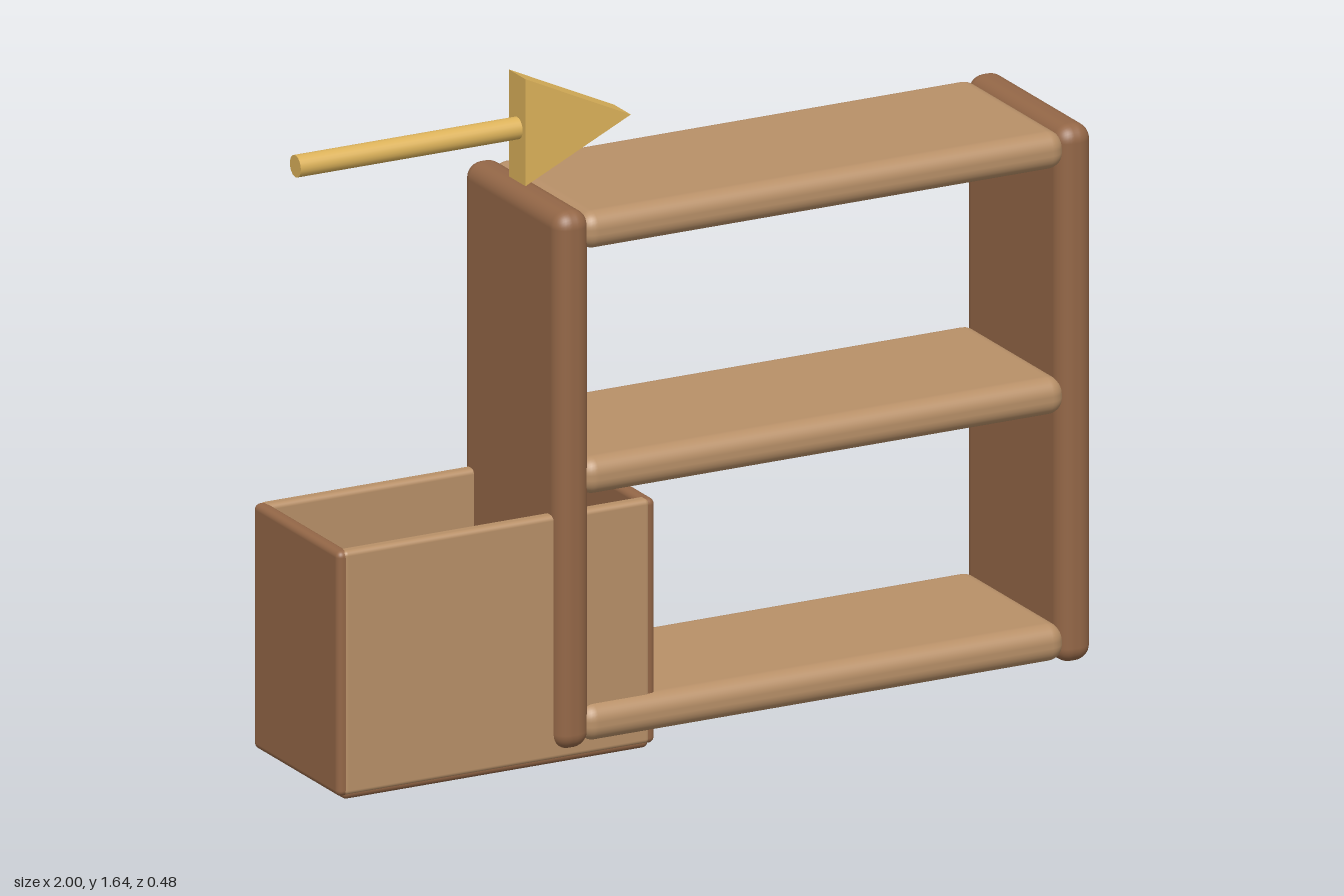
import * as THREE from 'three';
import { RoundedBoxGeometry } from 'three/addons/geometries/RoundedBoxGeometry.js';

const make = (name, color) => {
  const m = new THREE.MeshStandardMaterial({ color });
  m.name = name;
  return m;
};

export function createModel() {
  const root = new THREE.Group();
  root.name = 'shelfWithBin';
  const darkWood = make('dark wood', 0x946747);
  const lightWood = make('light wood', 0xb89068);
  const gold = make('gold', 0xdcb25a);

  // Rounded board given by its extents on each axis
  const board = (name, parent, mat, [x0, x1], [y0, y1], [z0, z1], r) => {
    const geo = new RoundedBoxGeometry(x1 - x0, y1 - y0, z1 - z0, 4, r);
    const mesh = new THREE.Mesh(geo, mat);
    mesh.name = name;
    mesh.position.set((x0 + x1) / 2, (y0 + y1) / 2, (z0 + z1) / 2);
    parent.add(mesh);
  };
  const group = (name) => {
    const g = new THREE.Group();
    g.name = name;
    root.add(g);
    return g;
  };

  // Shelf unit: two uprights and three shelves
  const shelf = group('shelfUnit');
  const depth = [-0.24, 0.24];
  board('rightUpright', shelf, darkWood, [-0.43, -0.338], [0.035, 1.362], depth, 0.04);
  board('leftUpright', shelf, darkWood, [0.905, 0.997], [0.035, 1.362], depth, 0.04);
  for (const y of [0.045, 0.654, 1.26]) {
    board('shelf', shelf, lightWood, [-0.362, 0.926], [y, y + 0.092], depth, 0.04);
  }

  // Open bin passing through the right upright
  const bin = group('bin');
  board('binBottom', bin, darkWood, [-0.985, -0.17], [0, 0.036], [-0.208, 0.208], 0.015);
  for (const x of [-1, -0.191]) {
    board('binEnd', bin, darkWood, [x, x + 0.036], [0.01, 0.615], [-0.21, 0.21], 0.015);
  }
  for (const z of [-0.212, 0.176]) {
    board('binSide', bin, lightWood, [-0.985, -0.17], [0.012, 0.615], [z, z + 0.036], 0.012);
  }

  // Arrow above the unit
  const arrow = group('arrow');
  const shaft = new THREE.Mesh(new THREE.CylinderGeometry(0.027, 0.027, 0.59, 24), gold);
  shaft.name = 'arrowShaft';
  shaft.rotation.z = -Math.PI / 2;
  shaft.position.set(-0.705, 1.508, 0);
  const outline = new THREE.Shape([
    new THREE.Vector2(-0.41, 1.376),
    new THREE.Vector2(-0.13, 1.508),
    new THREE.Vector2(-0.41, 1.64),
  ]);
  const head = new THREE.Mesh(new THREE.ExtrudeGeometry(outline, { depth: 0.082, bevelEnabled: false }), gold);
  head.name = 'arrowHead';
  head.position.z = -0.041;
  arrow.add(shaft, head);

  return root;
}
